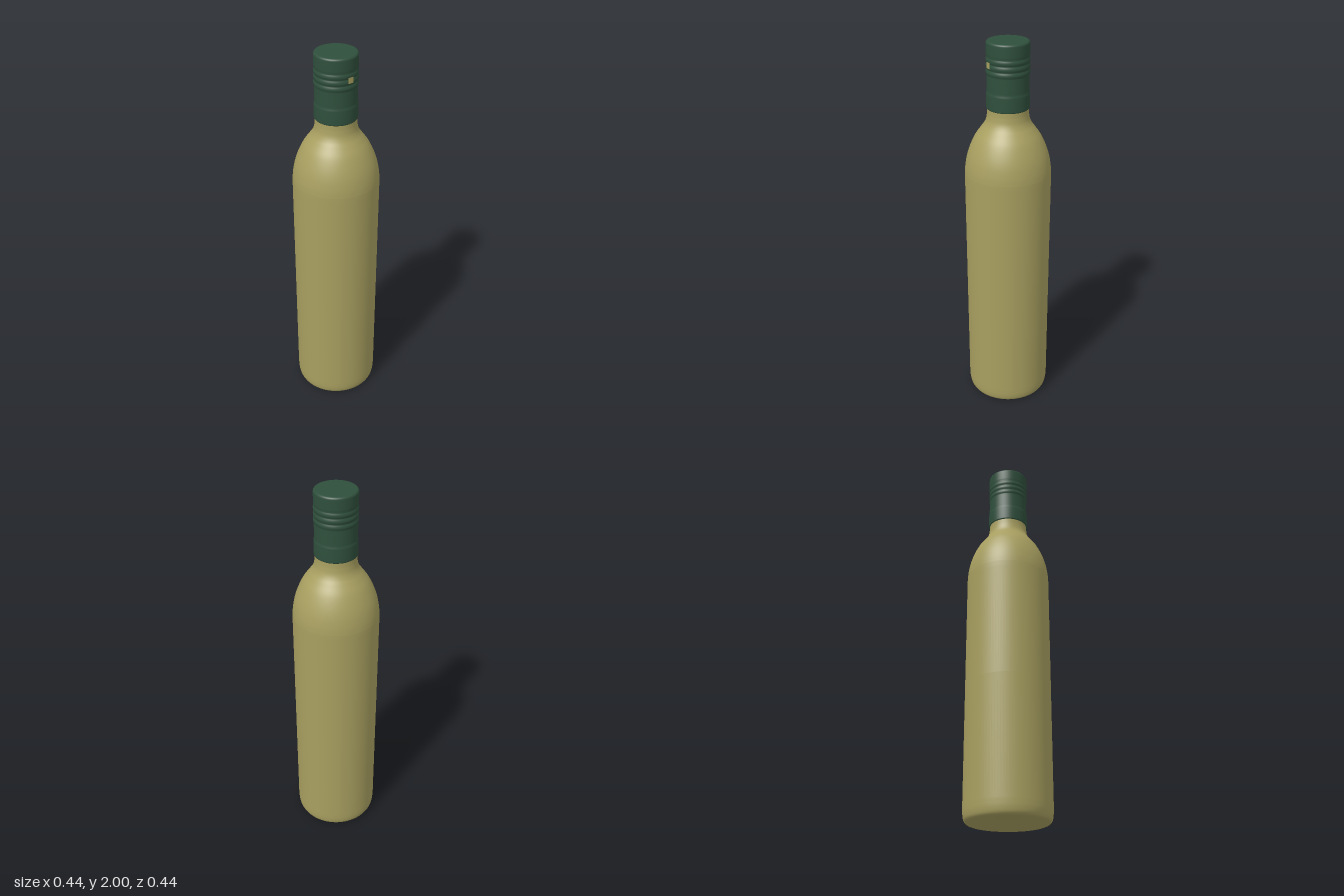
import * as THREE from 'three';

const SEGMENTS = 96;

const points = (pairs) => pairs.map(([r, y]) => new THREE.Vector2(r, y));

// Smooth run of profile points through a few control points
const curve = (pairs, n) => new THREE.SplineCurve(points(pairs)).getPoints(n);

function lathe(name, profile, material) {
  const mesh = new THREE.Mesh(new THREE.LatheGeometry(profile, SEGMENTS), material);
  mesh.name = name;
  return mesh;
}

export function createModel() {
  const glass = new THREE.MeshStandardMaterial({ color: 0xa89f60 });
  glass.name = 'oliveGlass';
  const foil = new THREE.MeshStandardMaterial({ color: 0x2f4f3c });
  foil.name = 'darkGreenFoil';

  const bottle = new THREE.Group();
  bottle.name = 'bottle';

  // Underside with a shallow hollow
  bottle.add(lathe('base', curve([[0, 0.035], [0.08, 0.029], [0.15, 0.014], [0.19, 0.002], [0.2, 0]], 20), glass));

  // Rounded heel, straight wall, domed shoulder and neck in one profile
  bottle.add(lathe('body', [
    ...curve([[0.2, 0], [0.209, 0.005], [0.216, 0.018], [0.22, 0.042], [0.221, 0.065]], 16),
    ...points([[0.2215, 0.08], [0.2215, 0.7], [0.2215, 1.3]]),
    ...curve([[0.221, 1.33], [0.217, 1.37], [0.207, 1.42], [0.19, 1.47], [0.166, 1.52],
      [0.138, 1.56], [0.12, 1.585], [0.109, 1.61], [0.104, 1.64]], 48),
    ...points([[0.103, 1.66], [0.103, 1.69]]),
  ], glass));

  // Sleeve of the screw cap, closed below, with a slightly wider lower band
  const capProfile = points([
    [0.1, 1.666], [0.105, 1.666], [0.107, 1.668], [0.108, 1.672], [0.108, 1.74],
    [0.107, 1.747], [0.105, 1.752], [0.105, 1.76], [0.105, 1.832],
  ]);

  // Rolled ridges around the cap
  for (const y of [1.85, 1.88, 1.91]) {
    for (let i = 0; i <= 10; i++) {
      const t = i / 10;
      capProfile.push(new THREE.Vector2(0.1045 + 0.004 * Math.sin(Math.PI * t), y - 0.014 + 0.028 * t));
    }
  }

  // Plain crown with a small rounded rim
  capProfile.push(...points([[0.106, 1.932], [0.107, 1.94], [0.107, 1.98]]));
  for (let i = 0; i <= 8; i++) {
    const a = (i / 8) * Math.PI / 2;
    capProfile.push(new THREE.Vector2(0.095 + 0.012 * Math.cos(a), 1.988 + 0.012 * Math.sin(a)));
  }
  capProfile.push(...points([[0.092, 2], [0.05, 2], [0, 2]]));
  bottle.add(lathe('screwCap', capProfile, foil));

  // Small window in the cap ridges, as a thin curved plate
  const windowPlate = new THREE.Mesh(
    new THREE.CylinderGeometry(0.1092, 0.1092, 0.03, 6, 1, true, 0.235, 0.28), glass);
  windowPlate.name = 'capWindow';
  windowPlate.position.y = 1.89;
  bottle.add(windowPlate);

  return bottle;
}
